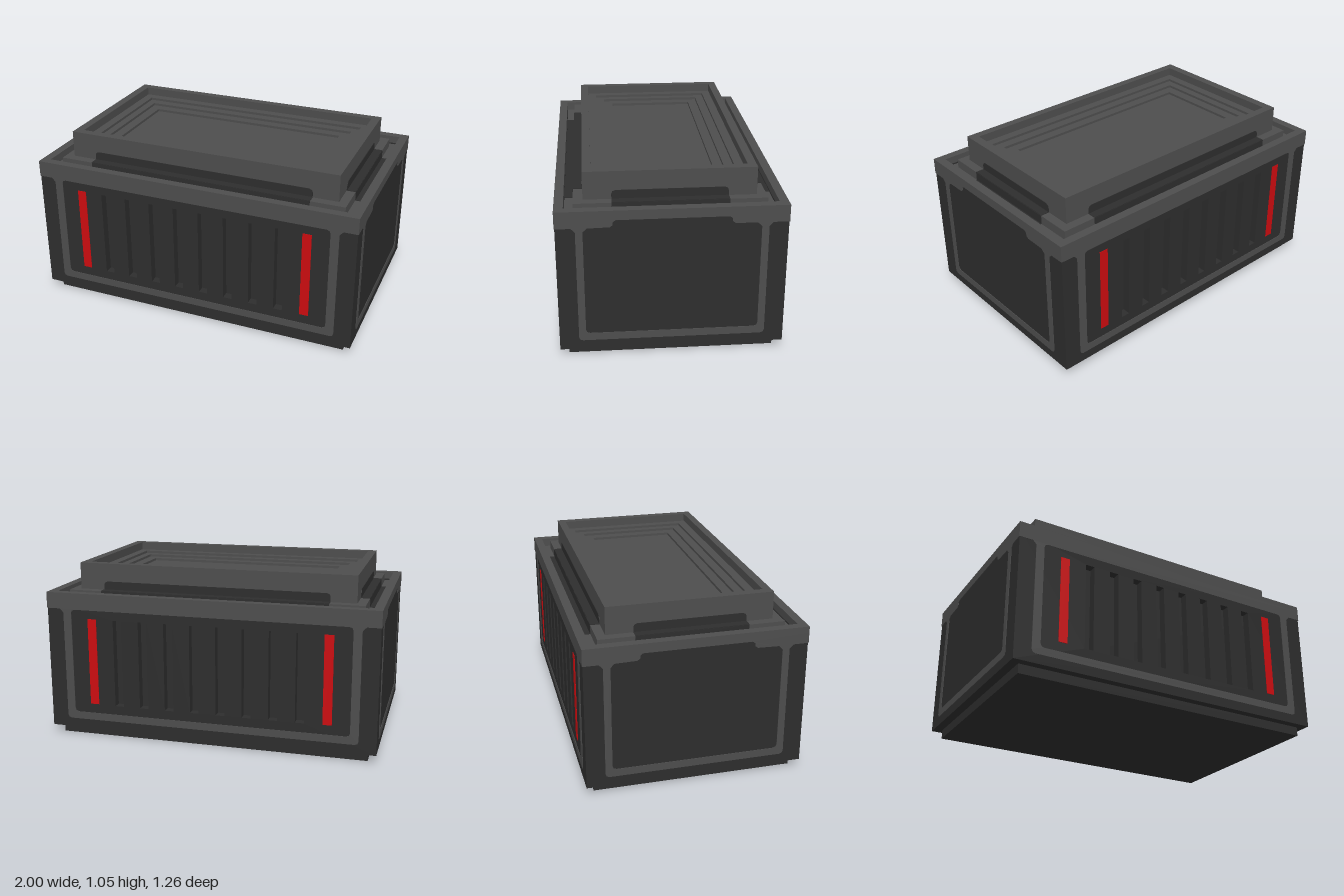
import * as THREE from 'three';

const dark = new THREE.MeshStandardMaterial({ color: 0x2d2d2d });
dark.name = 'charcoal';
const light = new THREE.MeshStandardMaterial({ color: 0x4d4d4d });
light.name = 'grey';
const red = new THREE.MeshStandardMaterial({ color: 0xcc0c10 });
red.name = 'red';

function add(parent, name, geometry, material, x = 0, y = 0, z = 0) {
  const mesh = new THREE.Mesh(geometry, material);
  mesh.name = name;
  mesh.position.set(x, y, z);
  parent.add(mesh);
  return mesh;
}

// Box given by half sizes in x and z and a height range
const slab = (hx, hz, y0, y1) =>
  new THREE.BoxGeometry(hx * 2, y1 - y0, hz * 2).translate(0, (y0 + y1) / 2, 0);

const points = (list) => list.map(([x, y]) => new THREE.Vector2(x, y));
const rect = (x0, y0, x1, y1) => points([[x0, y0], [x1, y0], [x1, y1], [x0, y1]]);
const extrude = (shape, depth) => new THREE.ExtrudeGeometry(shape, { depth, bevelEnabled: false });

// Rectangular ring lying flat between two heights
function ring(ox, oz, ix, iz, y0, y1) {
  const shape = new THREE.Shape(rect(-ox, -oz, ox, oz));
  shape.holes.push(new THREE.Path(rect(-ix, -iz, ix, iz)));
  return extrude(shape, y1 - y0).rotateX(-Math.PI / 2).translate(0, y0, 0);
}

// Mirror the right half of an outline, listed bottom to top
const mirrored = (half) => points([...half, ...half.map(([x, y]) => [-x, y]).reverse()]);

// Thin painted border: top band, U-shaped frame and the cut-out panel
function border(w, f, i, bump) {
  const shape = new THREE.Shape(mirrored([
    [f - 0.022, 0.11], [f - 0.006, 0.116], [f, 0.132], [f, 0.775], [f + 0.022, 0.798], [w, 0.798], [w, 0.86],
  ]));
  const top = bump
    ? [[i, 0.775], [i - 0.022, 0.797], [bump + 0.015, 0.8], [bump, 0.812], [bump, 0.828], [bump - 0.018, 0.842]]
    : [[i, 0.775], [i - 0.006, 0.789], [i - 0.022, 0.795]];
  shape.holes.push(new THREE.Path(mirrored([
    [i - 0.022, 0.155], [i - 0.006, 0.161], [i, 0.177], ...top,
  ])));
  return extrude(shape, 0.003);
}

// Front wall with eight vent slots, red bars and border
function ventWall() {
  const wall = new THREE.Group();
  wall.name = 'ventWall';
  const shape = new THREE.Shape(rect(-0.997, 0.055, 0.997, 0.85));
  for (let n = 0; n < 8; n++) {
    const x = (n - 3.5) * 0.158;
    shape.holes.push(new THREE.Path(rect(x - 0.027, 0.21, x + 0.027, 0.742)));
  }
  add(wall, 'slottedPanel', extrude(shape, 0.05), dark, 0, 0, 0.577);
  add(wall, 'wallBorder', border(1, 0.895, 0.845), light, 0, 0, 0.627);
  for (const s of [-1, 1]) {
    add(wall, 'redBar', new THREE.BoxGeometry(0.054, 0.53, 0.004), red, s * 0.713, 0.478, 0.628);
  }
  return wall;
}

// Dark patch with rounded upper corners on the collar and over the ledges
function collarPatch(half, reach) {
  const patch = new THREE.Group();
  patch.name = 'collarPatch';
  const shape = new THREE.Shape(mirrored([
    [half, 0.89], [half, 0.925], [half - 0.006, 0.939], [half - 0.022, 0.946],
  ]));
  add(patch, 'collarPatchFace', extrude(shape, 0.003), dark, 0, 0, reach);
  add(patch, 'ridgePatch', new THREE.BoxGeometry(half * 2, 0.004, 0.053), dark, 0, 0.896, reach + 0.0265);
  add(patch, 'ridgePatchEdge', new THREE.BoxGeometry(half * 2, 0.055, 0.003), dark, 0, 0.868, reach + 0.0535);
  add(patch, 'groovePatch', new THREE.BoxGeometry(half * 2, 0.004, 0.051), dark, 0, 0.843, reach + 0.0795);
  return patch;
}

export function createModel() {
  const model = new THREE.Group();
  model.name = 'ventedCrate';

  // Plinth and body
  add(model, 'plinth', slab(0.945, 0.58, 0, 0.06), dark);
  add(model, 'bodyCore', slab(0.997, 0.577, 0.055, 0.838), dark);

  // Walls
  for (const s of [0, 1]) {
    const wall = ventWall();
    wall.rotation.y = s * Math.PI;
    model.add(wall);

    const side = new THREE.Group();
    side.name = 'sideWall';
    side.rotation.y = Math.PI / 2 + s * Math.PI;
    add(side, 'sideBorder', border(0.63, 0.52, 0.48, 0.32), light, 0, 0, 0.997);
    model.add(side);

    const longPatch = collarPatch(0.69, 0.475);
    longPatch.rotation.y = s * Math.PI;
    const shortPatch = collarPatch(0.32, 0.842);
    shortPatch.rotation.y = Math.PI / 2 + s * Math.PI;
    model.add(longPatch, shortPatch);
  }

  // Outer rim, groove and ridge around the collar
  add(model, 'outerRim', ring(1, 0.63, 0.948, 0.579, 0.84, 0.895), light);
  add(model, 'grooveFloor', ring(0.95, 0.58, 0.89, 0.525, 0.83, 0.842), light);
  add(model, 'collarRidge', ring(0.895, 0.528, 0.84, 0.474, 0.83, 0.895), light);

  // Collar stepping down to the sunken top
  const steps = [
    [0.842, 0.475, 1.055], [0.79, 0.427, 1.005], [0.737, 0.374, 0.99], [0.69, 0.32, 0.975], [0.63, 0.263, 0.96],
  ];
  steps.forEach(([hx, hz, top], n) => {
    const next = steps[n + 1];
    if (next) add(model, n ? 'innerStep' : 'collar', ring(hx, hz, next[0], next[1], 0.83, top), light);
    else add(model, 'sunkenTop', slab(hx, hz, 0.83, top), light);
  });
  return model;
}
